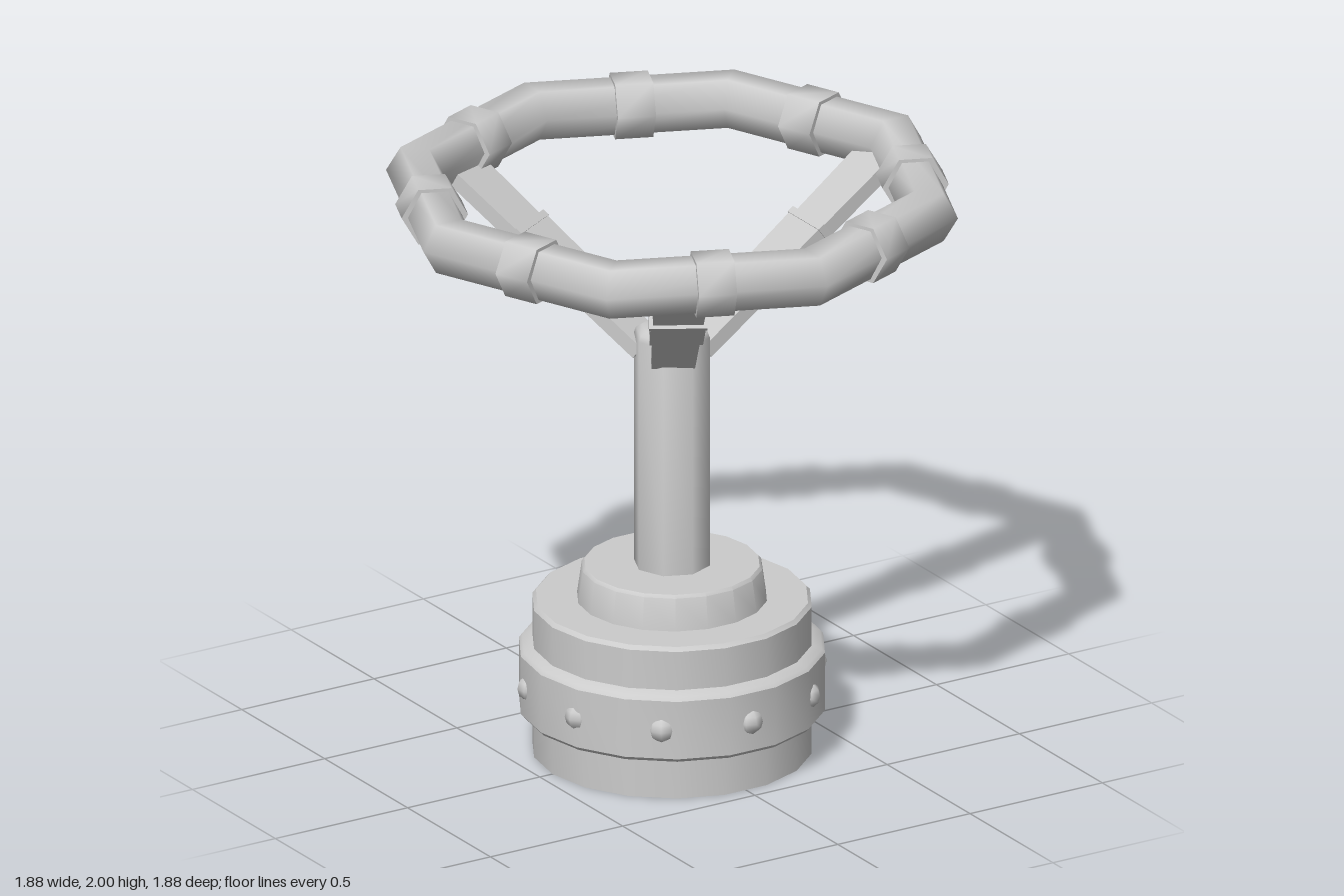
import * as THREE from 'three';
import { toCreasedNormals } from 'three/addons/utils/BufferGeometryUtils.js';

const material = new THREE.MeshStandardMaterial({ color: 0xcccccc, side: THREE.DoubleSide });

function add(parent, name, geometry) {
  const mesh = new THREE.Mesh(geometry, material);
  mesh.name = name;
  parent.add(mesh);
  return mesh;
}

// Turned part with a corner on the x axis
function turned(points, sides, crease = 0.6) {
  const profile = points.map(([r, y]) => new THREE.Vector2(r, y));
  return toCreasedNormals(new THREE.LatheGeometry(profile, sides, Math.PI / 2), crease);
}

// Bar along x whose width changes from w0 to w1
function taperedBar(length, thickness, w0, w1) {
  const g = new THREE.BoxGeometry(length, thickness, 1);
  const p = g.attributes.position;
  for (let i = 0; i < p.count; i++) p.setZ(i, p.getZ(i) * (p.getX(i) < 0 ? w0 : w1));
  g.computeVertexNormals();
  return g;
}

export function createModel() {
  const model = new THREE.Group();
  model.name = 'valveWheel';

  // Hollow base with a stepped top
  add(model, 'base', turned([
    [0.452, 0], [0.452, 0.505], [0.44, 0.518], [0.307, 0.518],
    [0.292, 0.625], [0.283, 0.635], [0, 0.635]], 18));
  add(model, 'baseBand', turned([
    [0.45, 0.128], [0.485, 0.14], [0.495, 0.152], [0.495, 0.35],
    [0.485, 0.362], [0.45, 0.374]], 18));

  // Studs around the band
  const studShape = new THREE.SphereGeometry(0.045, 8, 6);
  for (let i = 0; i < 10; i++) {
    const a = (i / 10) * Math.PI * 2;
    const stud = add(model, 'stud', studShape);
    stud.position.set(Math.sin(a) * 0.466, 0.247, Math.cos(a) * 0.466);
    stud.rotation.y = a;
  }

  // Upright post
  add(model, 'post', turned([
    [0.125, 0.62], [0.125, 1.42], [0.118, 1.438], [0.1, 1.45], [0, 1.457]], 8, 0.9));

  // Octagonal wheel rim with a hexagonal section
  const rim = add(model, 'rim', new THREE.TorusGeometry(0.845, 0.095, 6, 8));
  rim.rotation.x = Math.PI / 2;
  rim.position.y = 1.905;

  // Sleeve in the middle of each rim side
  const sleeveShape = turned([
    [0.08, -0.062], [0.108, -0.062], [0.108, 0.062], [0.08, 0.062]], 6, 1.1);
  sleeveShape.rotateX(Math.PI / 2);
  for (let i = 0; i < 8; i++) {
    const pivot = new THREE.Group();
    pivot.name = 'rimSleevePivot';
    pivot.rotation.y = ((i + 0.5) / 8) * Math.PI * 2;
    model.add(pivot);
    add(pivot, 'rimSleeve', sleeveShape).position.set(0.781, 1.905, 0);
  }

  // Three sloping spokes, each with a sleeve
  const spokeShape = taperedBar(0.856, 0.05, 0.14, 0.175);
  const spokeSleeveShape = taperedBar(0.195, 0.068, 0.172, 0.178);
  const spokeCollarShape = taperedBar(0.025, 0.074, 0.188, 0.188);
  for (let i = 0; i < 3; i++) {
    const spoke = new THREE.Group();
    spoke.name = 'spokeAssembly';
    spoke.rotation.y = (i / 3) * Math.PI * 2;
    model.add(spoke);
    const slope = new THREE.Group();
    slope.name = 'slopedSpoke';
    slope.position.set(0.435, 1.618, 0);
    slope.rotation.z = 0.634;
    spoke.add(slope);
    add(slope, 'spoke', spokeShape);
    add(slope, 'spokeSleeve', spokeSleeveShape).position.x = 0.005;
    add(slope, 'spokeCollar', spokeCollarShape).position.x = 0.115;
  }
  return model;
}
